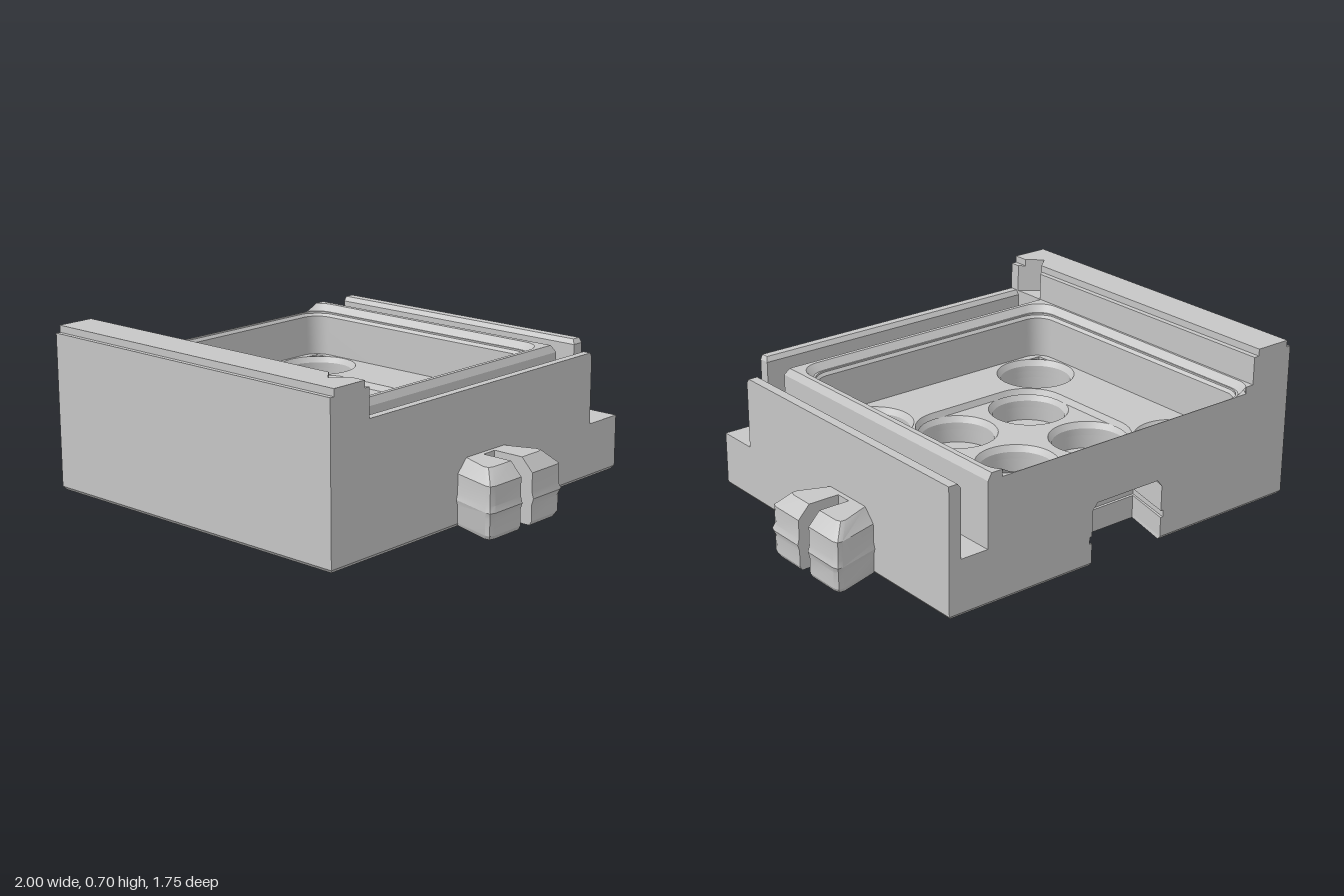
import * as THREE from 'three';
import { toCreasedNormals } from 'three/addons/utils/BufferGeometryUtils.js';

const CX = -0.11, CZ = -0.235; // centre of the tray
const BACK = -0.877, RIGHT = 0.783;

export function createModel() {
  const model = new THREE.Group();
  const grey = new THREE.MeshStandardMaterial({ color: 0xc6c6c6 });
  const greyOpen = new THREE.MeshStandardMaterial({ color: 0xc6c6c6, side: THREE.DoubleSide });
  greyOpen.name = 'greyPlasticOpen';
  grey.name = 'greyPlastic';

  const add = (name, geometry, parent = model, material = grey) => {
    const mesh = new THREE.Mesh(toCreasedNormals(geometry, 0.5), material);
    mesh.name = name;
    parent.add(mesh);
  };

  // Horizontal slab from an [x, z] outline; rule may move vertices
  const slab = (outline, holes, y0, y1, rule) => {
    const path = (pts, clockwise) => {
      const v = pts.map(([x, z]) => new THREE.Vector2(x, -z));
      return THREE.ShapeUtils.isClockWise(v) === clockwise ? v : v.reverse();
    };
    const shape = new THREE.Shape(path(outline, false));
    for (const h of holes) shape.holes.push(new THREE.Path(path(h, true)));
    const g = new THREE.ExtrudeGeometry(shape, { depth: y1 - y0, bevelEnabled: false });
    g.rotateX(-Math.PI / 2).translate(0, y0, 0);
    if (rule) {
      const p = g.attributes.position, v = new THREE.Vector3();
      for (let i = 0; i < p.count; i++) {
        v.fromBufferAttribute(p, i);
        rule(v, v.y > (y0 + y1) / 2);
        p.setXYZ(i, v.x, v.y, v.z);
      }
      g.computeVertexNormals();
    }
    return g;
  };

  const ring = (x, z, radius, n = 48) => Array.from({ length: n }, (_, i) => {
    const a = (i / n) * Math.PI * 2, r = typeof radius === 'function' ? radius(a) : radius;
    return [x + r * Math.cos(a), z + r * Math.sin(a)];
  });

  // Rounded square around the tray centre
  const roundSquare = (half, r) => {
    const pts = [];
    [[1, 1], [-1, 1], [-1, -1], [1, -1]].forEach(([sx, sz], q) => {
      for (let i = 0; i <= 8; i++) {
        const a = (q + i / 8) * Math.PI / 2;
        pts.push([CX + sx * (half - r) + r * Math.cos(a), CZ + sz * (half - r) + r * Math.sin(a)]);
      }
    });
    return pts;
  };

  // Sloped strip between two rounded squares, clipped at the back face
  const slope = (inner, outer, y0, y1) => {
    const pos = [], index = [];
    inner.forEach(([x, z], i) => {
      const [ox, oz] = outer[i];
      const t = oz < BACK ? (z - BACK) / (z - oz) : 1;
      pos.push(x, y0, z, x + (ox - x) * t, y0 + (y1 - y0) * t, z + (oz - z) * t);
      const a = i * 2, b = ((i + 1) % inner.length) * 2;
      index.push(a, b, b + 1, a, b + 1, a + 1);
    });
    const g = new THREE.BufferGeometry();
    g.setAttribute('position', new THREE.Float32BufferAttribute(pos, 3));
    g.setIndex(index);
    return g;
  };

  // Back edge with the dovetail socket, then the remaining outline
  const socket = (g) => [[CX - 0.185 - g, BACK], [CX - 0.24 - g, -0.655 + g],
    [CX + 0.24 + g, -0.655 + g], [CX + 0.185 + g, BACK]];
  const lower = (g) => [[-1, BACK], ...socket(g), [RIGHT, BACK], [RIGHT, 0.66], [-1, 0.66]];
  const upperEnd = [[0.6, BACK], [0.6, 0.47], [-0.79, 0.47], [-0.79, 0.66], [-1, 0.66]];
  const upper = [[-1, BACK], ...upperEnd];
  const upperSocket = [[-1, BACK], ...socket(0), ...upperEnd];

  const centreSpots = [], cornerSpots = [];
  for (const sx of [-1, 1]) for (const sz of [-1, 1]) {
    centreSpots.push([CX + sx * 0.195, CZ + sz * 0.195]);
    cornerSpots.push([CX + sx * 0.447, CZ + sz * 0.445, sx, sz]);
  }
  const wells = [...centreSpots, ...cornerSpots].map(([x, z]) => ring(x, z, 0.155));
  const centreMouths = centreSpots.map(([x, z]) => ring(x, z, 0.172));
  // Corner wells have a squared relief towards the tray corner
  const cornerMouths = cornerSpots.map(([x, z, sx, sz]) => ring(x, z, (a) => {
    const c = Math.cos(a), s = Math.sin(a);
    if (c * sx < 0 || s * sz < 0) return 0.172;
    return Math.max(0.172, 0.147 / Math.max(Math.abs(c), Math.abs(s)));
  }));

  // Lower body, with socket and wells
  const body = new THREE.Group();
  body.name = 'body';
  model.add(body);
  add('bottomChamfer', slab(lower(0), [], 0, 0.015, (v, top) => {
    if (top) return;
    if (Math.abs(v.x - CX) > 0.5) v.x -= Math.sign(v.x) * 0.012;
    if (v.z > 0.6) v.z -= 0.012;
    if (v.z < -0.85) v.z += 0.012;
  }), body);
  add('baseLower', slab(lower(0), [], 0.015, 0.1), body);
  add('baseSocketGroove', slab(lower(0.012), [], 0.1, 0.13), body);
  add('baseMiddle', slab(lower(0), [], 0.13, 0.18), body);
  add('baseWells', slab(lower(0), wells, 0.18, 0.24), body);
  add('socketRoof', slab(upperSocket, wells, 0.24, 0.27, (v, top) => {
    if (top && Math.abs(v.x - CX) < 0.26 && v.z < -0.6) {
      v.x -= Math.sign(v.x - CX) * 0.025;
      if (v.z > -0.8) v.z -= 0.03;
    }
  }), body);
  add('centreFloor', slab(upper, [...centreMouths, ...wells.slice(4)], 0.27, 0.295), body);
  const recess = roundSquare(0.37, 0.175);
  add('trayFloor', slab(upper, [recess, ...cornerMouths], 0.295, 0.32), body);
  add('recessEdge', slope(roundSquare(0.357, 0.162), recess, 0.295, 0.32), body, greyOpen);
  add('trayWall', slab(upper, [roundSquare(0.628, 0.08)], 0.32, 0.5), body);
  add('trayRimLower', slab(upper, [roundSquare(0.639, 0.09)], 0.5, 0.52), body);

  // Upper rim is cut open along the back; its outer lip is chamfered
  const rim = roundSquare(0.67, 0.1);
  const cut = rim.filter(([, z]) => z > BACK);
  const first = cut.findIndex(([x], i) => i > 0 && x - cut[i - 1][0] > 1);
  const mouth = [...cut.slice(first), ...cut.slice(0, first)].reverse();
  add('trayRim', slab([[-1, BACK], [mouth[0][0], BACK], ...mouth, [mouth[mouth.length - 1][0], BACK], ...upperEnd],
    [], 0.52, 0.55, (v, top) => {
      if (!top) return;
      if (v.x > 0.595) v.x = 0.583;
      if (v.z > 0.465 && v.z < 0.48) v.z = 0.453;
    }), body);
  add('trayLip', slope(roundSquare(0.628, 0.08), rim, 0.5, 0.55), body, greyOpen);

  // Conical mouths of the wells
  const cone = (x, z, y) => add('wellMouth', new THREE.LatheGeometry(
    [new THREE.Vector2(0.155, y - 0.025), new THREE.Vector2(0.172, y)], 48).translate(x, 0, z), body, greyOpen);
  centreSpots.forEach(([x, z]) => cone(x, z, 0.295));
  cornerSpots.forEach(([x, z]) => cone(x, z, 0.32));

  // Thin walls beyond the channels
  const frontOutline = [[-0.79, 0.61], [0.593, 0.61], [0.593, 0.66], [-0.79, 0.66]];
  add('frontWall', slab(frontOutline, [], 0.24, 0.53));
  add('frontWallTop', slab(frontOutline, [], 0.53, 0.55, (v, top) => {
    if (top && v.z < 0.63) v.z += 0.015;
    if (top && v.x > 0) v.x -= 0.01;
  }));
  const sideOutline = [[0.727, BACK], [RIGHT, BACK], [RIGHT, 0.47], [0.727, 0.47]];
  add('sideWall', slab(sideOutline, [], 0.24, 0.53));
  add('sideWallTop', slab(sideOutline, [], 0.53, 0.55, (v, top) => {
    if (top && v.x < 0.75) v.x += 0.015;
    if (top && v.z > 0) v.z -= 0.015;
  }));

  // Raised rail with a pointed notch
  const rail = (x0, x1, w) => [[x0, BACK], [x1, BACK], [x1, 0.535 - w], [-0.88, 0.535],
    [x1, 0.535 + w], [x1, 0.66], [x0, 0.66]];
  add('rail', slab(rail(-1, -0.79, 0.078), [], 0.55, 0.67));
  add('railTop', slab(rail(-0.98, -0.815, 0.056), [], 0.67, 0.7));

  // Dovetail connector: two lofted prongs joined by a web
  const levels = [[0.002, 0.018], [0.02, 0.008], [0.09, 0.008], [0.115, 0], [0.14, 0.008], [0.22, 0.008], [0.275, 0.06]];
  const prong = (side) => {
    const rows = levels.map(([y, i]) => {
      const d = 0.217 - i, w0 = 0.175 - i, w1 = 0.233 - i;
      const pts = [[0.035, -0.005], [0.035, d], [w1 - 0.03, d], [w1 - 0.008, d - 0.008], [w1 - 0.006, d - 0.03], [w0, -0.005]]
        .map(([u, z]) => [u * side, y, z]);
      return side > 0 ? pts : pts.reverse();
    });
    const pos = [], n = rows[0].length;
    const tri = (...p) => p.forEach((q) => pos.push(...q));
    for (let r = 0; r < rows.length - 1; r++) for (let i = 0; i < n; i++) {
      const j = (i + 1) % n, lo = rows[r], hi = rows[r + 1];
      tri(lo[i], lo[j], hi[j]);
      tri(lo[i], hi[j], hi[i]);
    }
    const bottom = rows[0], top = rows[rows.length - 1];
    for (let i = 1; i < n - 1; i++) {
      tri(top[0], top[i], top[i + 1]);
      tri(bottom[0], bottom[i + 1], bottom[i]);
    }
    const g = new THREE.BufferGeometry();
    g.setAttribute('position', new THREE.Float32BufferAttribute(pos, 3));
    g.computeVertexNormals();
    return g;
  };
  const connector = (name, x, z, turn) => {
    const group = new THREE.Group();
    group.name = name;
    for (const side of [1, -1]) add('prong', prong(side), group);
    add('web', new THREE.BoxGeometry(0.07, 0.27, 0.025).translate(0, 0.14, 0.0075), group);
    group.position.set(x, 0, z);
    group.rotation.y = turn;
    model.add(group);
  };
  connector('frontConnector', CX, 0.66, 0);
  connector('sideConnector', RIGHT, CZ, Math.PI / 2);

  return model;
}
